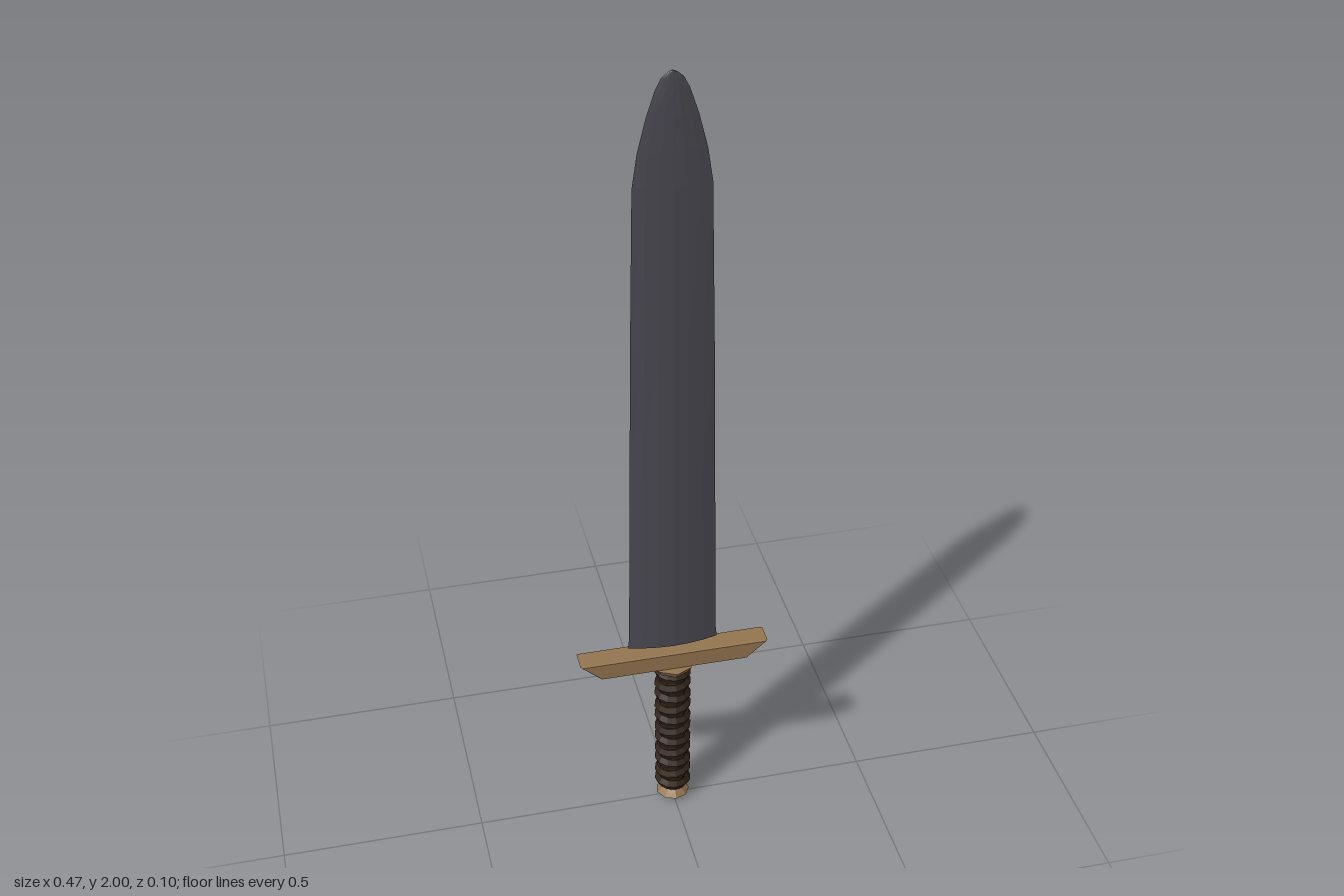
import * as THREE from 'three';

const steel = new THREE.MeshStandardMaterial({ name: 'darkSteel', color: 0x4b4a52, flatShading: true });
const brass = new THREE.MeshStandardMaterial({ name: 'agedBrass', color: 0x94754f, flatShading: true });
const leather = new THREE.MeshStandardMaterial({ name: 'darkLeather', color: 0x35271c, flatShading: true });

// Skin a closed stack of cross-sections (each a loop of [x, y, z]) with end caps
function loft(rings) {
  const pos = [], n = rings[0].length;
  const tri = (...pts) => pts.forEach(p => pos.push(...p));
  const centre = ring => [0, 1, 2].map(k => ring.reduce((s, p) => s + p[k], 0) / n);
  for (let r = 0; r < rings.length - 1; r++) {
    const a = rings[r], b = rings[r + 1];
    for (let i = 0; i < n; i++) {
      const j = (i + 1) % n;
      tri(a[i], b[i], a[j]);
      tri(a[j], b[i], b[j]);
    }
  }
  const first = rings[0], last = rings[rings.length - 1];
  const c0 = centre(first), c1 = centre(last);
  for (let i = 0; i < n; i++) {
    const j = (i + 1) % n;
    tri(c0, first[i], first[j]);
    tri(c1, last[j], last[i]);
  }
  const g = new THREE.BufferGeometry();
  g.setAttribute('position', new THREE.Float32BufferAttribute(pos, 3));
  g.computeVertexNormals();
  return g;
}

export function createModel() {
  const model = new THREE.Group();
  model.name = 'sword';
  const add = (name, geometry, material, y = 0, parent = model) => {
    const mesh = new THREE.Mesh(geometry, material);
    mesh.name = name;
    mesh.position.y = y;
    parent.add(mesh);
    return mesh;
  };

  // Blade: lens-shaped section, tapering to a rounded point; [y, half width, half thickness]
  const lens = [[1, 0], [0.7, 0.5], [0.35, 0.87], [0, 1], [-0.35, 0.87], [-0.7, 0.5],
    [-1, 0], [-0.7, -0.5], [-0.35, -0.87], [0, -1], [0.35, -0.87], [0.7, -0.5]];
  const stations = [[0.5, 0.112, 0.016], [0.53, 0.109, 0.016], [1.0, 0.102, 0.014], [1.34, 0.097, 0.012],
    [1.74, 0.089, 0.009], [1.82, 0.077, 0.008], [1.9, 0.057, 0.007], [1.96, 0.037, 0.006],
    [1.985, 0.024, 0.005], [1.997, 0.01, 0.004], [2.0, 0.003, 0.003]];
  add('blade', loft(stations.map(([y, w, t]) => lens.map(([x, z]) => [x * w, y, z * t]))), steel);

  // Cross guard: bar with undercut ends and a fine bevel
  const bar = new THREE.Shape([[-0.182, 0.438], [0.182, 0.438], [0.232, 0.481], [-0.232, 0.481]]
    .map(([x, y]) => new THREE.Vector2(x, y)));
  const guard = new THREE.ExtrudeGeometry(bar, {
    depth: 0.05, bevelEnabled: true, bevelSize: 0.003, bevelThickness: 0.004, bevelSegments: 1,
  });
  guard.translate(0, 0, -0.026);
  add('crossGuard', guard, brass);

  // Collar under the guard
  add('collar', new THREE.CylinderGeometry(0.052, 0.04, 0.02, 7), brass, 0.427);

  // Grip: core wrapped in slightly tilted cords
  const grip = new THREE.Group();
  grip.name = 'grip';
  model.add(grip);
  add('gripCore', new THREE.CylinderGeometry(0.036, 0.036, 0.39, 10), leather, 0.235, grip);
  const cords = 11;
  for (let i = 0; i < cords; i++) {
    const cord = new THREE.TorusGeometry(0.032, 0.0145, 6, 12);
    cord.rotateX(Math.PI / 2);
    cord.scale(1, 1.15, 0.96);
    cord.rotateZ(i % 2 ? 0.08 : -0.06);
    add('cord', cord, leather, 0.056 + i * 0.0355, grip);
  }

  // Pommel: flared foot with a shallow base
  const profile = [[0, 0], [0.026, 0.003], [0.042, 0.014], [0.034, 0.024], [0.022, 0.038], [0.02, 0.05], [0, 0.05]]
    .map(([r, y]) => new THREE.Vector2(r, y));
  add('pommel', new THREE.LatheGeometry(profile, 9), brass);

  return model;
}
